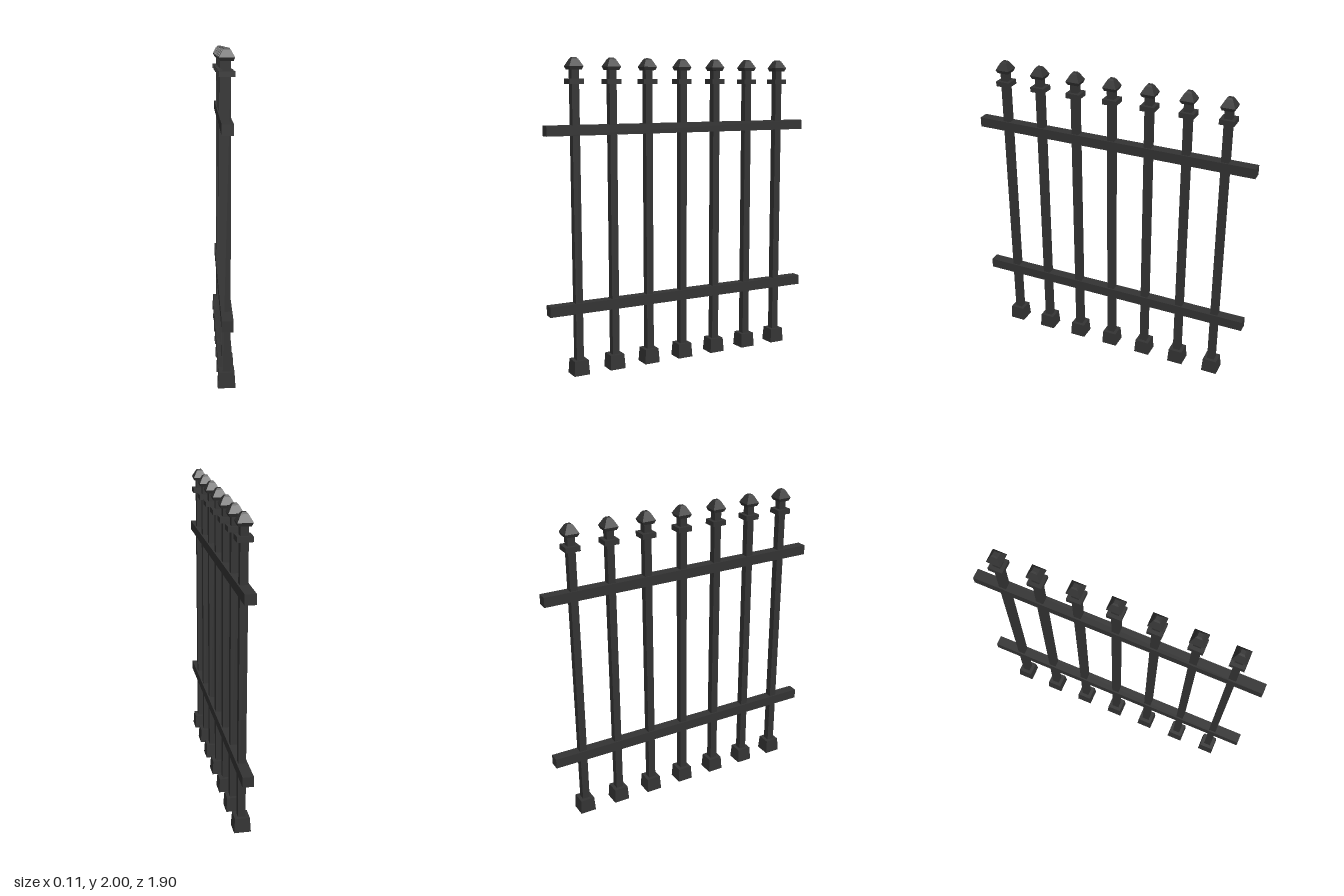
import * as THREE from 'three';

const iron = new THREE.MeshStandardMaterial({ color: 0x333333, flatShading: true });

// Square-section solid from a profile of [half width, height], bottom to top
function squareTurned(name, profile) {
  const points = profile.map(([half, y]) => new THREE.Vector2(half * Math.SQRT2, y));
  const geometry = new THREE.LatheGeometry(points, 4).rotateY(Math.PI / 4);
  const mesh = new THREE.Mesh(geometry, iron);
  mesh.name = name;
  return mesh;
}

// Box spanning y0 to y1, centred on x and z
function bar(name, width, y0, y1, depth) {
  const mesh = new THREE.Mesh(new THREE.BoxGeometry(width, y1 - y0, depth), iron);
  mesh.position.y = (y0 + y1) / 2;
  mesh.name = name;
  return mesh;
}

function createPicket() {
  const picket = new THREE.Group();
  picket.add(
    squareTurned('foot', [[0, 0], [0.053, 0], [0.047, 0.095], [0, 0.095]]),
    bar('shaft', 0.048, 0.05, 1.94, 0.048),
    bar('collar', 0.094, 1.838, 1.87, 0.094),
    squareTurned('finial', [
      [0, 1.925], [0.037, 1.925], [0.046, 1.946], [0.022, 1.99], [0.013, 2], [0, 2],
    ]),
  );
  return picket;
}

export function createModel() {
  const fence = new THREE.Group();
  fence.name = 'fencePanel';

  // Seven evenly spaced pickets along z
  for (let i = -3; i <= 3; i++) {
    const picket = createPicket();
    picket.name = `picket${i + 4}`;
    picket.position.z = i * 0.251;
    fence.add(picket);
  }

  // Horizontal rails
  fence.add(
    bar('lowerRail', 0.068, 0.4, 0.466, 1.9),
    bar('upperRail', 0.068, 1.524, 1.588, 1.9),
  );
  return fence;
}
